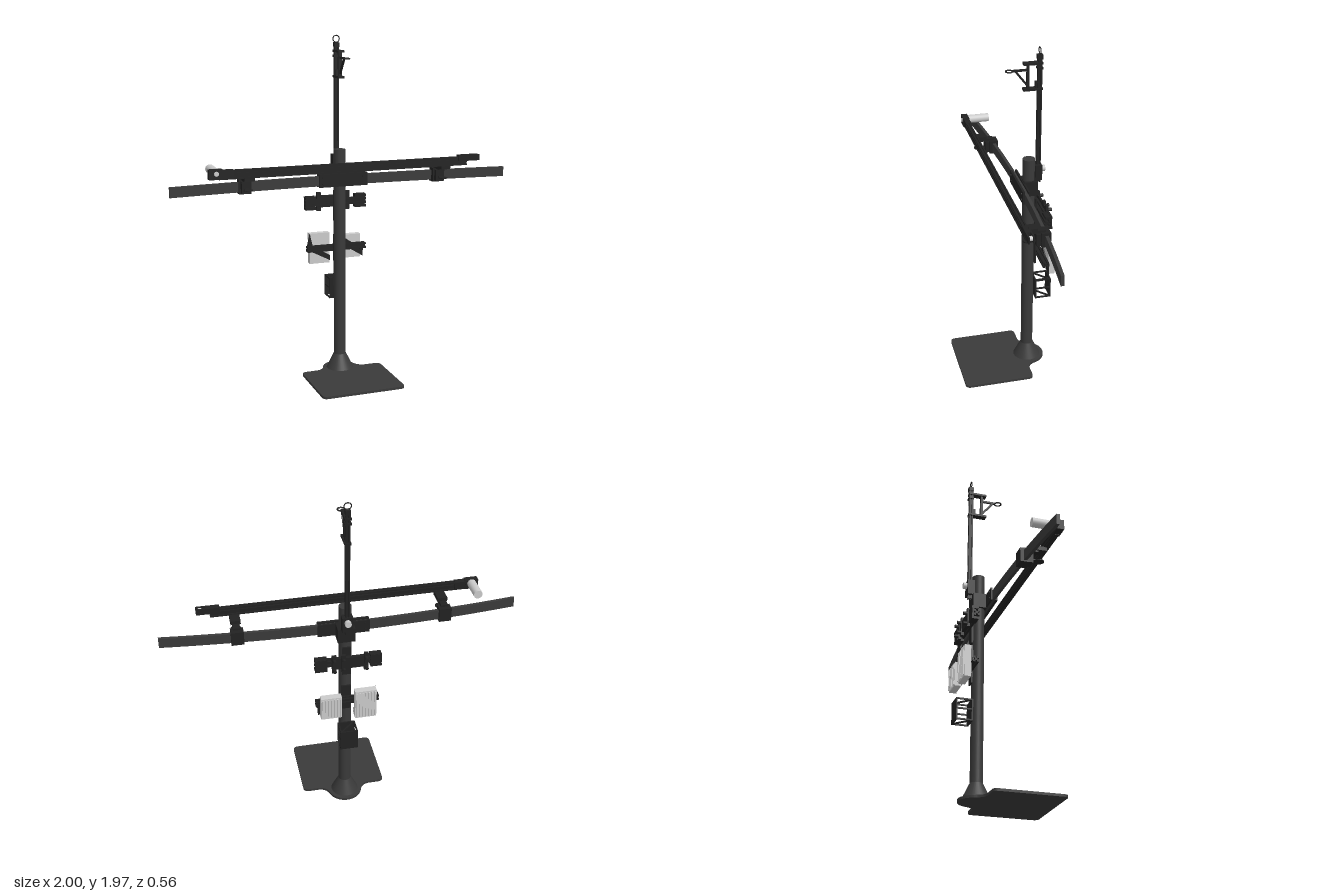
import * as THREE from 'three';

const mat = (color) => new THREE.MeshStandardMaterial({ color, side: THREE.DoubleSide });

export function createModel() {
  const model = new THREE.Group();
  const steel = mat(0x3a3a3a), black = mat(0x222222), grey = mat(0xcccccc);

  const add = (name, geo, material, x = 0, y = 0, z = 0) => {
    const m = new THREE.Mesh(geo, material);
    m.name = name;
    m.position.set(x, y, z);
    model.add(m);
    return m;
  };
  // box given by its limits on each axis
  const box = (name, material, [x0, x1], [y0, y1], [z0, z1]) =>
    add(name, new THREE.BoxGeometry(x1 - x0, y1 - y0, z1 - z0), material,
      (x0 + x1) / 2, (y0 + y1) / 2, (z0 + z1) / 2);
  // square bar between two points
  const strut = (name, a, b, w, material = black) => {
    const p = new THREE.Vector3(...a), q = new THREE.Vector3(...b);
    const m = add(name, new THREE.BoxGeometry(w, w, p.distanceTo(q)), material);
    m.position.copy(p).lerp(q, 0.5);
    m.lookAt(q);
    return m;
  };
  const extrude = (shape, depth) =>
    new THREE.ExtrudeGeometry(shape, { depth, bevelEnabled: false, curveSegments: 16 });
  // slotted bar along z, w wide and h tall, with n slots on each tall side
  const slottedBar = (w, h, len, n) => {
    const s = new THREE.Shape(), c = h / n, g = c * 0.16, d = w * 0.28;
    s.moveTo(-w / 2, -h / 2);
    s.lineTo(-w * 0.15, -h / 2).lineTo(-w * 0.15, -h / 2 + d).lineTo(w * 0.15, -h / 2 + d)
      .lineTo(w * 0.15, -h / 2).lineTo(w / 2, -h / 2);
    for (let i = 0; i < n; i++) {
      const y = -h / 2 + c * (i + 0.5);
      s.lineTo(w / 2, y - g).lineTo(w / 2 - d, y - g).lineTo(w / 2 - d, y + g).lineTo(w / 2, y + g);
    }
    s.lineTo(w / 2, h / 2).lineTo(w * 0.15, h / 2).lineTo(w * 0.15, h / 2 - d)
      .lineTo(-w * 0.15, h / 2 - d).lineTo(-w * 0.15, h / 2).lineTo(-w / 2, h / 2);
    for (let i = n - 1; i >= 0; i--) {
      const y = -h / 2 + c * (i + 0.5);
      s.lineTo(-w / 2, y + g).lineTo(-w / 2 + d, y + g).lineTo(-w / 2 + d, y - g).lineTo(-w / 2, y - g);
    }
    s.closePath();
    return extrude(s, len).translate(0, 0, -len / 2);
  };

  // base plate with a rounded tongue under the column
  const zc = -0.15;
  const plate = new THREE.Shape();
  plate.moveTo(-0.215, -0.275).lineTo(0.215, -0.275).quadraticCurveTo(0.245, -0.275, 0.245, -0.245);
  plate.lineTo(0.245, 0.1).quadraticCurveTo(0.245, 0.13, 0.215, 0.13);
  plate.lineTo(0.16, 0.13).quadraticCurveTo(0.11, 0.13, 0.095, 0.18);
  plate.absarc(0, -zc, 0.1, 0.3, Math.PI - 0.3, false);
  plate.quadraticCurveTo(-0.11, 0.13, -0.16, 0.13).lineTo(-0.215, 0.13);
  plate.quadraticCurveTo(-0.245, 0.13, -0.245, 0.1).lineTo(-0.245, -0.245);
  plate.quadraticCurveTo(-0.245, -0.275, -0.215, -0.275);
  add('basePlate', extrude(plate, 0.014).rotateX(-Math.PI / 2), steel);

  // column and its flared foot
  add('column', new THREE.CylinderGeometry(0.035, 0.035, 1.31, 32), steel, 0, 0.67, zc);
  add('columnFoot', new THREE.CylinderGeometry(0.036, 0.08, 0.09, 32, 1, true), steel, 0, 0.057, zc);

  // curved cross arm
  const armZ = (x) => -0.1 + 0.055 * x * x - 0.005 * x;
  const arm = new THREE.Shape();
  const steps = 32, t = 0.009;
  for (let i = 0; i <= steps; i++) {
    const x = -1 + 2 * i / steps;
    arm[i ? 'lineTo' : 'moveTo'](x, -armZ(x) - t);
  }
  for (let i = steps; i >= 0; i--) {
    const x = -1 + 2 * i / steps;
    arm.lineTo(x, -armZ(x) + t);
  }
  add('crossArm', extrude(arm, 0.057).rotateX(-Math.PI / 2), steel, 0, 1.127, 0);

  // centre clamp joining the arm and the column
  box('armClampPlate', black, [-0.145, 0.145], [1.12, 1.195], [-0.092, -0.08]);
  box('armClampBackPlate', black, [-0.145, 0.145], [1.12, 1.195], [-0.12, -0.11]);
  box('columnClamp', black, [-0.048, 0.048], [1.115, 1.2], [-0.192, -0.115]);
  for (const s of [-1, 1]) for (const y of [1.14, 1.175])
    add('clampBolt', new THREE.CylinderGeometry(0.006, 0.006, 0.05, 10).rotateX(Math.PI / 2), black, s * 0.12, y, -0.1);

  // slide rail with its end fittings and motor
  add('slideRail', slottedBar(0.024, 0.05, 1.46, 2).rotateY(Math.PI / 2), black, -0.02, 1.25, 0.046).rotation.y = 0.004;
  box('motorMount', black, [-0.805, -0.73], [1.228, 1.282], [0.03, 0.068]);
  box('railEndLeftPlate', black, [-0.74, -0.67], [1.23, 1.277], [0.031, 0.064]);
  add('motor', new THREE.CylinderGeometry(0.025, 0.025, 0.125, 24).rotateX(Math.PI / 2), grey, -0.766, 1.263, -0.032);
  add('motorPulley', new THREE.CylinderGeometry(0.013, 0.013, 0.012, 20).rotateX(Math.PI / 2), grey, -0.766, 1.26, 0.068);
  for (const z of [0.028, 0.054])
    box('tensionerCheek', black, [0.655, 0.785], [1.25, 1.285], [z, z + 0.008]);
  box('tensionerBlock', black, [0.655, 0.73], [1.252, 1.284], [0.03, 0.06]);
  add('idlerPulley', new THREE.CylinderGeometry(0.013, 0.013, 0.022, 20).rotateX(Math.PI / 2), grey, 0.762, 1.268, 0.045);

  // arm clamps carrying the rail
  for (const s of [-1, 1]) {
    const x = s * 0.58, X = (w) => [x - w, x + w];
    box('railClamp', black, X(0.035), [1.118, 1.198], [-0.105, -0.055]);
    box('railClampFront', black, X(0.026), [1.125, 1.19], [-0.06, -0.03]);
    box('railSupport', black, X(0.02), [1.195, 1.21], [-0.08, 0.0]);
    box('railSupportStep', black, X(0.028), [1.205, 1.228], [-0.035, 0.045]);
    add('clampTab', new THREE.CylinderGeometry(0.026, 0.026, 0.005, 20), black, x, 1.15, 0.01);
    box('clampTabNeck', black, X(0.014), [1.1475, 1.1525], [-0.035, 0.01]);
  }

  // upper mast with eye ring
  const mz = -0.203;
  add('mast', slottedBar(0.024, 0.024, 0.74, 1).rotateX(Math.PI / 2), black, 0, 1.55, mz);
  box('mastCap', black, [-0.014, 0.014], [1.9, 1.925], [mz - 0.015, mz + 0.015]);
  add('mastRing', new THREE.TorusGeometry(0.019, 0.003, 8, 28), black, 0, 1.945, mz);
  box('mastClamp', black, [-0.03, 0.03], [1.2, 1.29], [-0.22, -0.18]);
  add('mastKnob', new THREE.CylinderGeometry(0.018, 0.018, 0.022, 16).rotateX(Math.PI / 2), grey, 0, 1.26, -0.23);

  // hook bracket on the mast
  box('hookPlate', black, [-0.01, 0.01], [1.73, 1.885], [-0.145, -0.132]);
  for (const y of [1.735, 1.85, 1.878])
    box('hookMount', black, [-0.018, 0.018], [y - 0.006, y + 0.006], y === 1.85 ? [-0.218, -0.188] : [-0.218, -0.112]);
  box('hookFoot', black, [-0.012, 0.012], [1.73, 1.775], [-0.19, -0.178]);
  strut('hookArm', [0, 1.843, -0.14], [0, 1.843, -0.055], 0.011);
  strut('hookBrace', [0, 1.75, -0.14], [0, 1.84, -0.07], 0.011);
  add('hookRing', new THREE.TorusGeometry(0.019, 0.004, 8, 24).rotateX(Math.PI / 2), black, 0, 1.843, -0.036);

  // upper accessory bracket
  box('upperMountPlate', black, [-0.025, 0.025], [0.9, 1.08], [-0.194, -0.184]);
  add('upperBracketRail', slottedBar(0.036, 0.036, 0.37, 1).rotateY(Math.PI / 2), black, -0.003, 1.008, -0.212);
  for (const [x0, x1] of [[-0.188, -0.125], [0.115, 0.183]]) {
    box('railHolder', black, [x0, x1], [0.968, 1.046], [-0.238, -0.228]);
    for (const y of [0.968, 1.03]) box('holderLip', black, [x0, x1], [y, y + 0.014], [-0.24, -0.2]);
  }
  box('holderPlate', black, [-0.1, 0.07], [0.975, 1.045], [-0.24, -0.23]);
  for (const [x, w] of [[-0.1, 0.012], [0.025, 0.012], [0.078, 0.012]]) {
    box('holderUpright', black, [x - w, x + w], [0.955, 1.065], [-0.244, -0.228]);
    for (const y of [0.975, 1.035])
      add('holderKnob', new THREE.CylinderGeometry(0.01, 0.01, 0.025, 12).rotateX(Math.PI / 2), black, x, y, -0.252);
  }

  // lower bracket with two electronics boxes
  box('lowerMountPlate', black, [-0.025, 0.025], [0.66, 0.82], [-0.194, -0.184]);
  add('lowerBracketRail', slottedBar(0.034, 0.034, 0.36, 1).rotateY(Math.PI / 2), black, 0, 0.735, -0.21);
  const casing = (xs, ys) => {
    box('electronicsBox', grey, xs, ys, [-0.268, -0.23]);
    const n = 7, w = (xs[1] - xs[0]) / n;
    for (let i = 0; i < n; i++) {
      const x = xs[0] + w * i;
      box('coolingFin', grey, [x + w * 0.3, x + w * 0.7], [ys[0] + 0.008, ys[1] - 0.008], [-0.275, -0.265]);
    }
  };
  casing([-0.157, -0.035], [0.64, 0.822]);
  casing([0.04, 0.158], [0.66, 0.8]);
  const gusset = (points) => add('boxGusset',
    extrude(new THREE.Shape(points.map(([x, y]) => new THREE.Vector2(x, y))), 0.008), black, 0, 0, -0.231);
  gusset([[-0.18, 0.725], [-0.14, 0.745], [-0.158, 0.822]]);
  gusset([[-0.17, 0.725], [-0.035, 0.655], [-0.035, 0.685], [-0.12, 0.735]]);
  gusset([[0.04, 0.74], [0.12, 0.74], [0.04, 0.795]]);
  gusset([[0.05, 0.74], [0.17, 0.665], [0.175, 0.74], [0.155, 0.74], [0.155, 0.705], [0.1, 0.74]]);

  // open holder box low on the column
  box('holderBackPlate', black, [-0.05, 0.05], [0.432, 0.556], [-0.28, -0.273]);
  box('holderFrontPlate', black, [-0.05, 0.05], [0.432, 0.556], [-0.194, -0.186]);
  for (const s of [-1, 1]) for (const y of [0.436, 0.497, 0.552])
    strut('holderSideBar', [s * 0.046, y, -0.188], [s * 0.046, y, -0.278], 0.008);
  for (const y of [0.436, 0.552])
    strut('holderDiagonal', [-0.046, y, -0.19], [0.046, y, -0.276], 0.008);

  return model;
}
